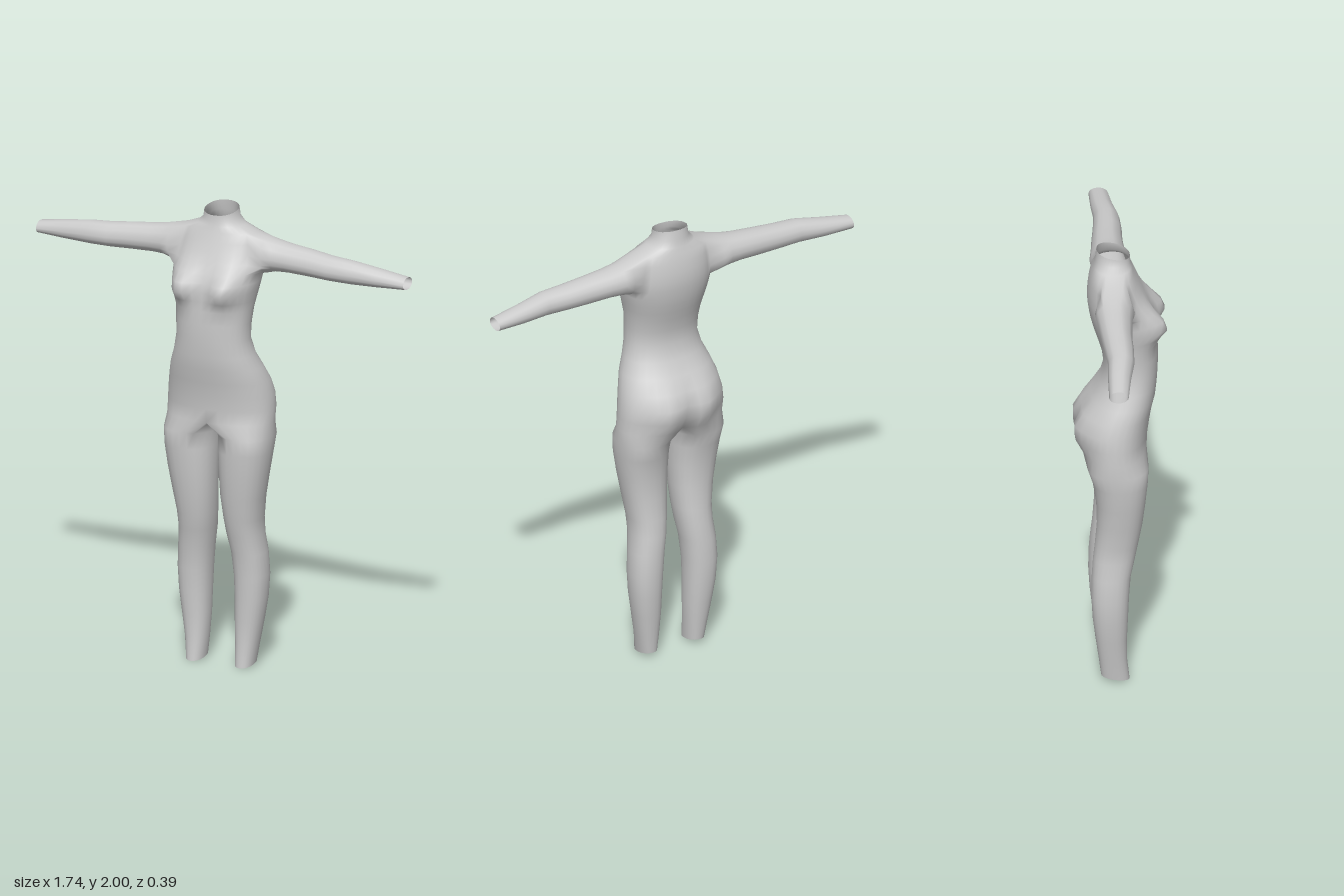
import * as THREE from 'three';

// Torso rings from hips to neck: [y, half width, front z, back z]
const TORSO = [
  [1.08, .243, .11, -.16], [1.14, .242, .112, -.178], [1.2, .236, .12, -.18], [1.26, .224, .13, -.16],
  [1.32, .205, .145, -.125], [1.38, .18, .152, -.09], [1.45, .163, .157, -.07], [1.52, .165, .158, -.078],
  [1.58, .17, .155, -.095], [1.62, .177, .15, -.108], [1.66, .185, .145, -.12], [1.7, .193, .138, -.13],
  [1.74, .198, .123, -.136], [1.78, .195, .106, -.14], [1.82, .19, .088, -.137], [1.86, .183, .072, -.132],
  [1.9, .17, .055, -.122], [1.925, .105, .048, -.113], [1.95, .078, .042, -.106], [1.985, .073, .04, -.1],
];
// Sleeve sections: [x, top y, bottom y, front z, back z]
const ARM = [
  [.22, 1.89, 1.735, .05, -.117], [.26, 1.88, 1.745, .04, -.115], [.32, 1.87, 1.748, .035, -.108],
  [.42, 1.86, 1.745, .03, -.1], [.52, 1.848, 1.742, .032, -.09], [.62, 1.842, 1.742, .028, -.082],
  [.74, 1.822, 1.742, .008, -.088], [.87, 1.8, 1.747, -.008, -.09],
];
// Leg sections: [y, outer x, inner x, front z, back z]
const LEG = [
  [1.02, .245, .012, .112, -.145], [.95, .24, .013, .11, -.122], [.85, .225, .016, .1, -.107],
  [.75, .207, .02, .088, -.104], [.65, .192, .028, .07, -.112], [.58, .19, .036, .056, -.12],
  [.5, .2, .05, .038, -.126], [.4, .206, .06, .03, -.128], [.3, .2, .064, .026, -.122],
  [.2, .185, .065, .022, -.11], [.1, .168, .07, .022, -.096], [.01, .155, .076, .033, -.086],
];
const N = 32;                       // columns around the torso, 0 = front centre
const HOLE = { r0: 12, r1: 16, k0: 5, k1: 11 }; // armhole rows and columns
const CROTCH = 7;

const round = (v, p) => Math.sign(v) * Math.abs(v) ** p;
const bump = (dx, dy, sx, sy) => Math.exp(-((dx / sx) ** 2) - (dy / sy) ** 2);

export function createModel() {
  const points = [];
  const add = (x, y, z) => points.push(x, y, z) / 3 - 1;

  // Join two equal closed loops with quads
  const quad = (out, a, b, c, d, flip) => flip ? out.push(a, c, b, a, d, c) : out.push(a, b, c, a, c, d);
  const bridge = (out, A, B, flip) => A.forEach((a, i) => {
    const j = (i + 1) % A.length;
    quad(out, a, A[j], B[j], B[i], flip);
  });

  // Torso: bust and seat are soft bumps on the oval rings
  const rings = TORSO.map(([y, w, zf, zb], r) => Array.from({ length: N }, (_, k) => {
    const t = k / N * Math.PI * 2, c = Math.cos(t);
    const x = w * round(Math.sin(t), .92);
    let z = (zf + zb) / 2 + (zf - zb) / 2 * round(c, .92);
    const ax = Math.abs(x);
    if (c > 0.01) z += .068 * bump(ax - .105, y - 1.665, .062, y > 1.665 ? .085 : .05);
    if (c < -0.01) {
      z -= .028 * bump(ax - .09, y - 1.17, .07, .09);
      z += .025 * bump(x, y - 1.08, .03, .1);
    }
    const tilt = r === TORSO.length - 1 ? .015 : r === TORSO.length - 2 ? .006 : 0;
    return add(x, y - tilt * c, z);
  }));
  const torso = [];
  for (let r = 0; r < rings.length - 1; r++) {
    for (let k = 0; k < N; k++) {
      const side = k < N / 2 ? k : N - 1 - k;
      if (r >= HOLE.r0 && r < HOLE.r1 && side >= HOLE.k0 && side < HOLE.k1) continue;
      const n = (k + 1) % N;
      quad(torso, rings[r][k], rings[r][n], rings[r + 1][n], rings[r + 1][k]);
    }
  }

  // Crotch seam shared by both legs, from back to front
  const seam = Array.from({ length: CROTCH }, (_, i) => {
    const u = (i + 1) / (CROTCH + 1);
    return add(0, 1.08 - .018 * Math.sin(u * Math.PI), THREE.MathUtils.lerp(-.135, .11, u));
  });

  const parts = { torso };
  for (const s of [1, -1]) {
    const name = s > 0 ? 'left' : 'right';
    const at = (r, k) => rings[r][s > 0 ? k : (N - k) % N];

    // Sleeve, sewn to the edge of the armhole
    const { r0, r1, k0, k1 } = HOLE, hole = [];
    for (let k = k1; k > k0; k--) hole.push(at(r1, k));
    for (let r = r1; r > r0; r--) hole.push(at(r, k0));
    for (let k = k0; k < k1; k++) hole.push(at(r0, k));
    for (let r = r0; r < r1; r++) hole.push(at(r, k1));
    const angles = hole.map(i => Math.atan2((points[i * 3 + 1] - 1.82) / .08, (points[i * 3 + 2] + .02) / .067));
    const arm = parts[name + 'Arm'] = [];
    let last = hole;
    for (const [x, yt, yb, zf, zb] of ARM) {
      const ring = angles.map(a => add(s * x,
        (yt + yb) / 2 + (yt - yb) / 2 * Math.sin(a),
        (zf + zb) / 2 + (zf - zb) / 2 * Math.cos(a)));
      bridge(arm, last, ring, s < 0);
      last = ring;
    }

    // Leg, sewn to half of the hip ring and the crotch seam
    const leg = parts[name + 'Leg'] = [];
    last = [...Array.from({ length: N / 2 + 1 }, (_, k) => at(0, k)), ...seam];
    const count = last.length;
    LEG.forEach(([y, xo, xi, zf, zb], r) => {
      const ring = last.map((_, i) => {
        const a = Math.PI / 2 + (i - N / 4) / count * Math.PI * 2, c = Math.cos(a);
        return add(s * ((xo + xi) / 2 + (xo - xi) / 2 * round(Math.sin(a), .9)),
          y - (r === LEG.length - 1 ? .01 * c : 0),
          (zf + zb) / 2 + (zf - zb) / 2 * round(c, .9));
      });
      bridge(leg, last, ring, s > 0);
      last = ring;
    });
  }

  // Shared points and normals keep the seams smooth between parts
  const whole = new THREE.BufferGeometry();
  whole.setAttribute('position', new THREE.Float32BufferAttribute(points, 3));
  whole.setIndex(Object.values(parts).flat());
  whole.computeVertexNormals();

  const material = new THREE.MeshStandardMaterial({ color: 0xcccccc, side: THREE.DoubleSide });
  const group = new THREE.Group();
  group.name = 'bodysuit';
  for (const [name, index] of Object.entries(parts)) {
    const geometry = new THREE.BufferGeometry();
    geometry.setAttribute('position', whole.getAttribute('position'));
    geometry.setAttribute('normal', whole.getAttribute('normal'));
    geometry.setIndex(index);
    const mesh = new THREE.Mesh(geometry, material);
    mesh.name = name;
    group.add(mesh);
  }
  return group;
}
